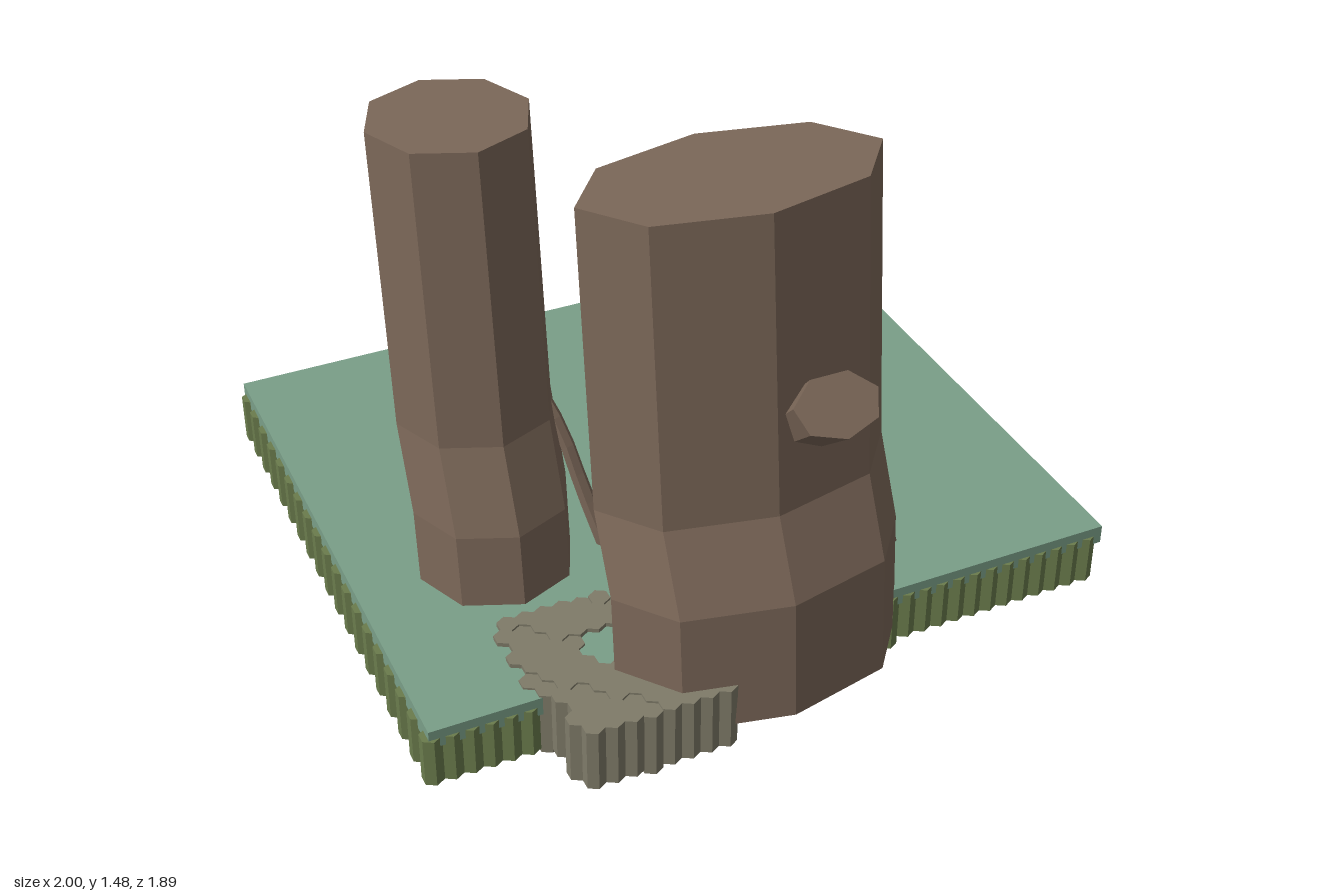
import * as THREE from 'three';
import { mergeGeometries } from 'three/addons/utils/BufferGeometryUtils.js';

const mat = (color, side = THREE.FrontSide) =>
  new THREE.MeshStandardMaterial({ color, flatShading: true, side });
const MAT = {
  water: mat(0x7a9f88),
  reed: mat(0x6b7c4d),
  stone: mat(0x7f7b69),
  bark: mat(0x7b6758),
  lily: mat(0xa8ac5c, THREE.DoubleSide),
  leaf: mat(0x4f6b4c, THREE.DoubleSide),
  stem: mat(0x66703f),
};

// Hexagonal grid used by the bed and the stone path
const PITCH = 2 / 38.5, R = PITCH / Math.sqrt(3), ROW = 1.5 * R, Z0 = -0.909;
const cellX = (i, r) => -1 + PITCH * (i + 0.5 + (r % 2 ? 0.5 : 0));
const cellZ = (r) => Z0 + r * ROW;

function hexColumn(x, z, y0, y1) {
  const g = new THREE.CylinderGeometry(R, R, y1 - y0, 6);
  return g.translate(x, (y0 + y1) / 2, z);
}

function isStone(x, z, r) {
  if (r > 36) return x > -0.645 && x < -0.24;
  if (r < 30 || x < -0.69 || x > -0.36) return false;
  return !(r > 32 && r < 36 && x > -0.52);
}

function buildColumns() {
  const reeds = [], stones = [];
  for (let r = 0; r <= 40; r++) {
    for (let i = 0; i < 38; i++) {
      const x = cellX(i, r), z = cellZ(r);
      if (isStone(x, z, r)) {
        const dip = (i * 7 + r * 3) % 5 === 0 ? 0.012 : 0;
        stones.push(hexColumn(x, z, 0.087 - dip, 0.272 - dip * 0.5));
        continue;
      }
      if (r > 36) continue;
      const middleX = x > -0.335 && x < 0.335;
      const middleZ = z > -0.36 && z < 0.17;
      if (middleX && middleZ && x < 0.29) continue; // open square under the water
      let bottom = 0.088;
      if (middleX && z <= -0.36) bottom = 0.05 + 0.013 * Math.sin(x * 7 + z * 5);
      if (middleX && z >= 0.17) bottom = 0.058 + 0.008 * Math.sin(x * 9 + z * 6);
      reeds.push(hexColumn(x, z, bottom, 0.232));
    }
  }
  return { reeds: mergeGeometries(reeds), stones: mergeGeometries(stones) };
}

// Eight-sided trunk whose sections slide along z as they rise; levels = [y, centre z], top first
function trunk(x, rx, rz, levels) {
  const g = new THREE.CylinderGeometry(1, 1, 3, 8, 3);
  const p = g.attributes.position;
  for (let i = 0; i < p.count; i++) {
    const [y, z] = levels[Math.round(1.5 - p.getY(i))];
    p.setXYZ(i, x + p.getX(i) * rx, y, z + p.getZ(i) * rz);
  }
  g.computeVertexNormals();
  return g;
}

// Tapered, closed limb through points, swept section by section
function limb(points, r0, r1, sides = 6) {
  const curve = new THREE.CatmullRomCurve3(points.map((q) => new THREE.Vector3(...q)));
  const n = 6, frames = curve.computeFrenetFrames(n), pos = [], idx = [];
  for (let k = 0; k <= n; k++) {
    const c = curve.getPointAt(k / n), rad = r0 + (r1 - r0) * (k / n);
    for (let s = 0; s < sides; s++) {
      const a = (s / sides) * Math.PI * 2;
      const v = c.clone()
        .addScaledVector(frames.normals[k], Math.cos(a) * rad)
        .addScaledVector(frames.binormals[k], Math.sin(a) * rad);
      pos.push(v.x, v.y, v.z);
      if (k < n) {
        const t = (s + 1) % sides, A = k * sides;
        idx.push(A + s, A + t, A + sides + s, A + t, A + sides + t, A + sides + s);
      }
    }
  }
  for (let s = 1; s < sides - 1; s++) {
    idx.push(0, s + 1, s);
    idx.push(n * sides, n * sides + s, n * sides + s + 1);
  }
  const g = new THREE.BufferGeometry();
  g.setAttribute('position', new THREE.Float32BufferAttribute(pos, 3));
  g.setIndex(idx);
  g.computeVertexNormals();
  return g;
}

export function createModel() {
  const model = new THREE.Group();
  const add = (name, geometry, material, parent = model) => {
    const m = new THREE.Mesh(geometry, material);
    m.name = name;
    parent.add(m);
    return m;
  };

  // Water slab and the columns beneath it
  add('waterSlab', new THREE.BoxGeometry(1.975, 0.055, 1.68), MAT.water).position.set(0.003, 0.2325, -0.11);
  const { reeds, stones } = buildColumns();
  add('bedColumns', reeds, MAT.reed);
  add('stonePath', stones, MAT.stone);

  // Leaning trunks
  add('largeTrunk', trunk(-0.073, 0.407, 0.215,
    [[1.52, 0.527], [0.70, 0.605], [0.49, 0.705], [0.15, 0.73]]), MAT.bark);
  add('smallTrunk', trunk(-0.587, 0.217, 0.215,
    [[1.52, -0.032], [0.70, 0.048], [0.47, 0.14], [0.15, 0.168]]), MAT.bark);

  // Cut branch on the large trunk
  const stub = add('branchStub', new THREE.CylinderGeometry(0.085, 0.068, 0.26, 7), MAT.bark);
  stub.scale.x = 1.4;
  stub.rotation.x = 0.82;
  stub.position.set(0.06, 0.925, 0.755);

  // Roots: start, bend, end, with start and end radius
  const roots = [
    ['sideRoot', [[0.2, 0.5, 0.54], [0.32, 0.42, 0.51], [0.385, 0.34, 0.52], [0.42, 0.22, 0.53]], 0.04, 0.035],
    ['backRoot', [[0.1, 0.52, 0.54], [0.1, 0.32, 0.45], [0.11, 0.05, 0.41]], 0.05, 0.1],
    ['smallBackRoot', [[-0.53, 0.7, -0.11], [-0.5, 0.62, -0.17], [-0.48, 0.42, -0.225], [-0.45, 0.22, -0.275]], 0.03, 0.034],
    ['smallSideRoot', [[-0.41, 0.71, 0.07], [-0.37, 0.6, 0.115], [-0.33, 0.42, 0.165], [-0.28, 0.22, 0.23]], 0.018, 0.025],
  ];
  for (const [name, pts, r0, r1] of roots) add(name, limb(pts, r0, r1), MAT.bark);

  // Lily pads: notched discs on thin stems
  const lilies = [
    [-0.33, 0.42, -0.29, 0.072, -Math.PI / 2, 0.14],
    [0.335, 0.372, 0.035, 0.055, 0, -0.1],
  ];
  for (const [x, y, z, r, notch, tilt] of lilies) {
    const lily = new THREE.Group();
    lily.name = 'lily';
    model.add(lily);
    const disc = new THREE.CircleGeometry(r, 8, notch + 0.35, Math.PI * 2 - 0.7).rotateX(-Math.PI / 2);
    const pad = add('lilyPad', disc, MAT.lily, lily);
    pad.position.set(x, y, z);
    pad.rotation.x = tilt;
    add('lilyStem', limb([[x + 0.01, 0.24, z], [x + 0.004, (y + 0.25) / 2, z + 0.01], [x, y, z]], 0.007, 0.006, 5),
      MAT.stem, lily);
  }

  // Sprigs of pointed leaves beside the trunks
  const shape = new THREE.Shape();
  shape.moveTo(0, 0);
  shape.quadraticCurveTo(0.045, 0.06, 0, 0.11);
  shape.quadraticCurveTo(-0.045, 0.06, 0, 0);
  const leafGeometry = new THREE.ShapeGeometry(shape, 4);
  for (const [x, z] of [[-0.28, 0.255], [-0.1, 0.36]]) {
    const sprig = new THREE.Group();
    sprig.name = 'sprig';
    sprig.position.set(x, 0, z);
    model.add(sprig);
    add('sprigStem', limb([[0, 0.24, 0], [0.005, 0.33, 0], [0, 0.41, 0]], 0.006, 0.005, 5), MAT.stem, sprig);
    for (const [y, turn, lean, size] of [[0.4, 1.4, 0.1, 0.9], [0.31, 0.4, 0.9, 0.6], [0.3, 3.4, 0.9, 0.6]]) {
      const leaf = add('leaf', leafGeometry, MAT.leaf, sprig);
      leaf.position.y = y;
      leaf.rotation.set(lean, turn, 0, 'YXZ');
      leaf.scale.setScalar(size);
    }
  }
  return model;
}
